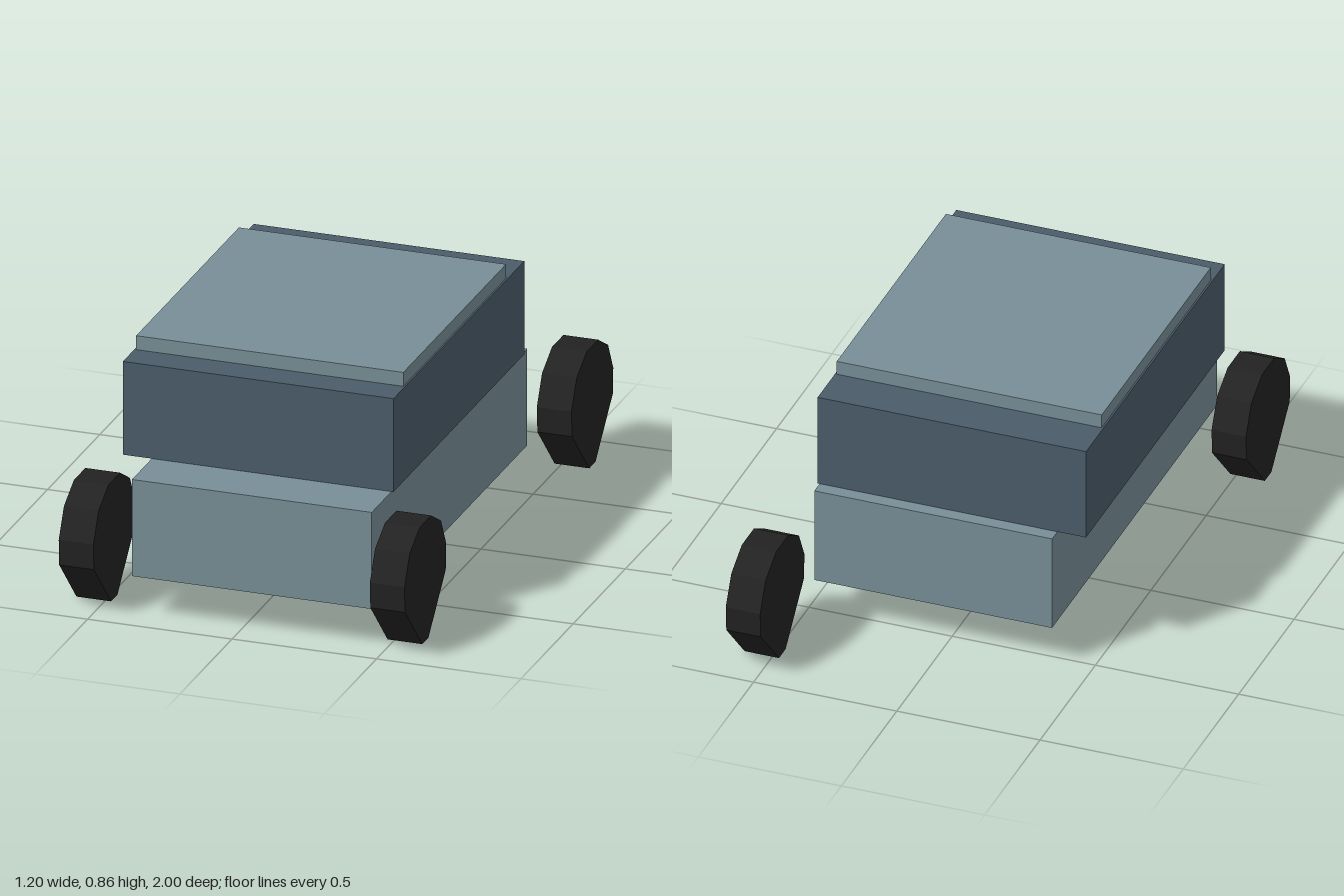
import * as THREE from 'three';

export function createModel() {
  const model = new THREE.Group();
  model.name = 'car';

  const material = (name, color) => {
    const m = new THREE.MeshStandardMaterial({ color });
    m.name = name;
    return m;
  };
  const paleBlue = material('paleBlueGrey', 0x778e96);
  const darkBlue = material('darkBlueGrey', 0x4a5c69);
  const rubber = material('blackRubber', 0x222222);

  const add = (name, geometry, mat, x, y, z) => {
    const mesh = new THREE.Mesh(geometry, mat);
    mesh.name = name;
    mesh.position.set(x, y, z);
    model.add(mesh);
  };

  // Box given by its limits along each axis
  const addBox = (name, mat, [x0, x1], [y0, y1], [z0, z1]) =>
    add(name, new THREE.BoxGeometry(x1 - x0, y1 - y0, z1 - z0), mat,
      (x0 + x1) / 2, (y0 + y1) / 2, (z0 + z1) / 2);

  // Stacked body, each part slightly off-centre
  addBox('lowerBody', paleBlue, [-0.37, 0.46], [0.145, 0.485], [-0.555, 0.935]);
  addBox('cabin', darkBlue, [-0.47, 0.467], [0.485, 0.813], [-0.507, 0.745]);
  addBox('roof', paleBlue, [-0.464, 0.461], [0.813, 0.862], [-0.35, 0.635]);

  // Faceted wheel: half outline mirrored, narrowing to the ground
  const half = [[0.03, 0], [0.195, 0.175], [0.2, 0.265], [0.15, 0.365], [0.055, 0.42]];
  const outline = [...half, ...half.map(([z, y]) => [-z, y]).reverse()];
  const wheel = new THREE.ExtrudeGeometry(
    new THREE.Shape(outline.map(([z, y]) => new THREE.Vector2(z, y))),
    { depth: 0.12, bevelEnabled: false });
  wheel.translate(0, 0, -0.06).rotateY(Math.PI / 2);

  // Three wheels: a front pair and one at the rear left
  add('frontLeftWheel', wheel, rubber, 0.537, 0, 0.8);
  add('frontRightWheel', wheel, rubber, -0.54, 0, 0.8);
  add('rearLeftWheel', wheel, rubber, 0.537, 0, -0.8);

  return model;
}
